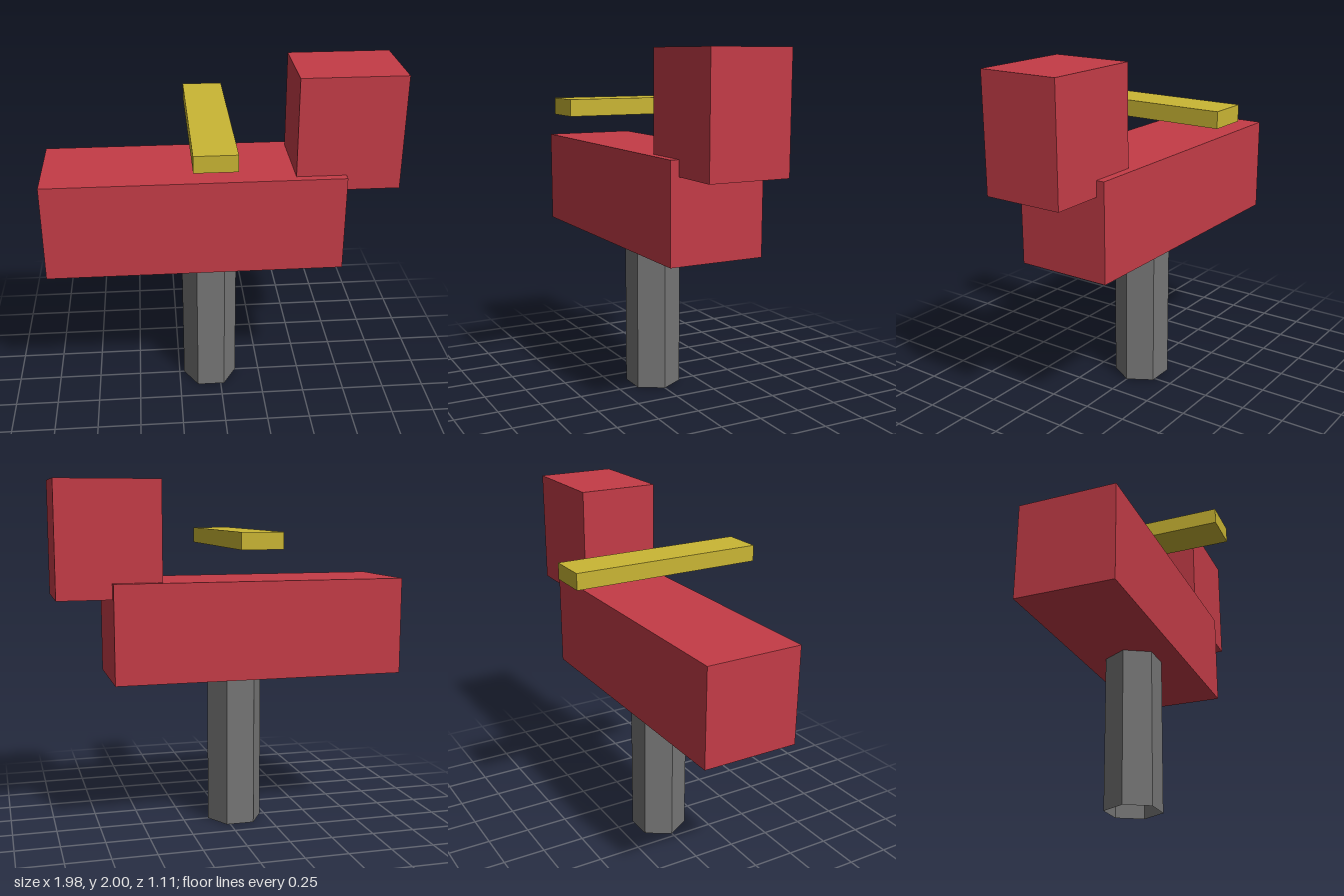
import * as THREE from 'three';

const material = (name, color, extra = {}) => {
  const m = new THREE.MeshStandardMaterial({ color, ...extra });
  m.name = name;
  return m;
};

// Box given by its minimum and maximum on x and y, centred on z
function box(name, mat, x0, x1, y0, y1, depth) {
  const mesh = new THREE.Mesh(new THREE.BoxGeometry(x1 - x0, y1 - y0, depth), mat);
  mesh.position.set((x0 + x1) / 2, (y0 + y1) / 2, 0);
  mesh.name = name;
  return mesh;
}

export function createModel() {
  const red = material('red', 0xc43c47);
  const yellow = material('yellow', 0xcab634);
  const grey = material('grey', 0x767676, { flatShading: true, side: THREE.DoubleSide });

  const group = new THREE.Group();
  group.name = 'birdOnPost';

  group.add(
    box('body', red, -0.99, 0.683, 0.888, 1.443, 0.556),
    box('head', red, 0.406, 0.985, 1.355, 2, 0.462),
    // wings float as one bar above the body
    box('wings', yellow, -0.175, 0.055, 1.63, 1.722, 1.114)
  );

  // hexagonal post, open at the ends, with corners pointing along x
  const height = 0.94;
  const post = new THREE.Mesh(new THREE.CylinderGeometry(0.162, 0.162, height, 6, 1, true), grey);
  post.rotation.y = Math.PI / 6;
  post.position.set(-0.06, height / 2, 0);
  post.name = 'post';
  group.add(post);

  return group;
}
